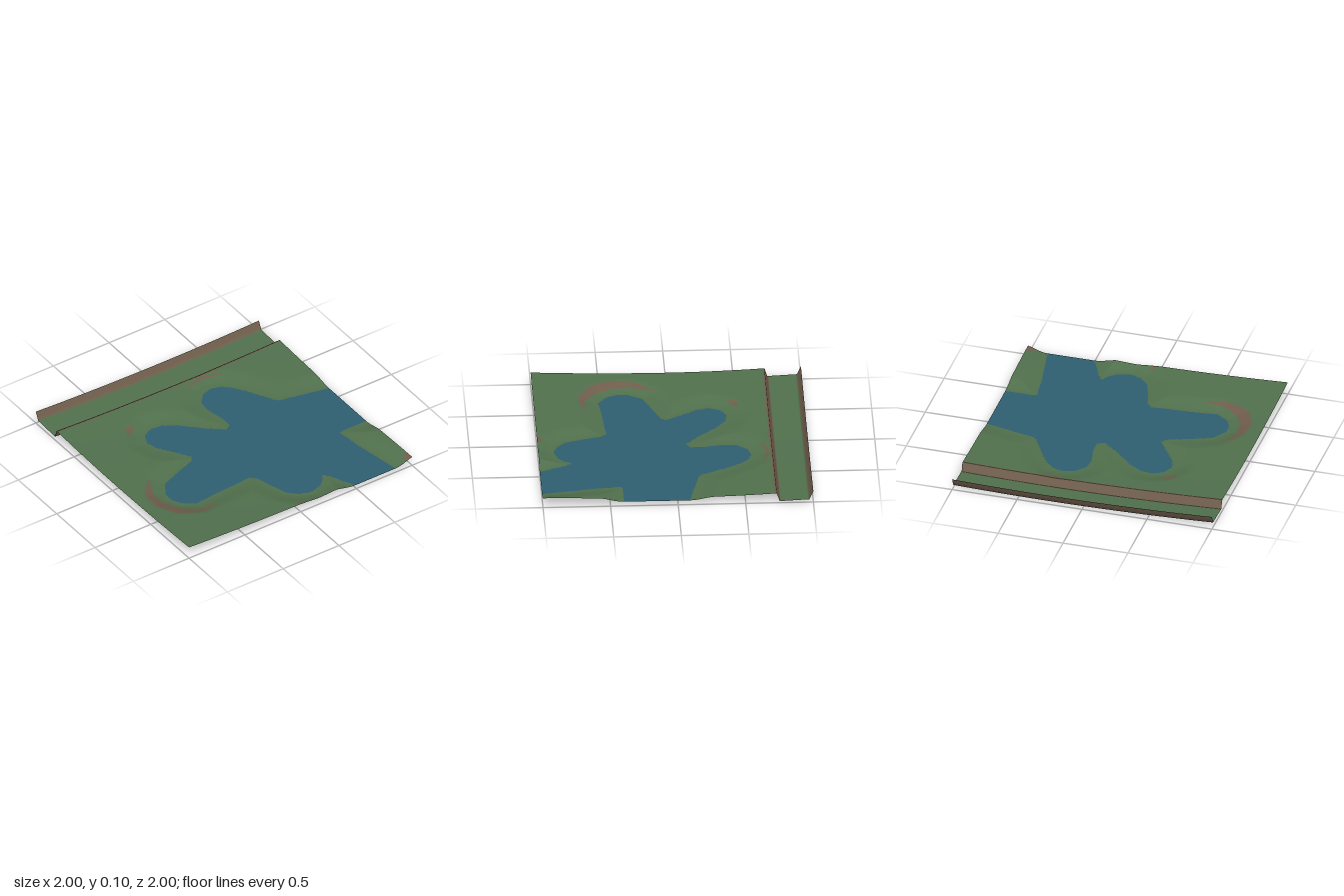
import * as THREE from 'three';

// Lake shoreline as [x, z], running past the sheet where the water meets its edge
const SHORE = [
  [1.3, -0.04], [1, -0.085], [0.8, -0.13], [0.62, -0.17], [0.58, -0.21], [0.5, -0.36], [0.43, -0.47],
  [0.36, -0.55], [0.28, -0.575], [0.19, -0.55], [0.12, -0.47], [0.11, -0.38], [0.14, -0.22], [0.14, -0.13],
  [0.09, -0.1], [0.04, -0.14], [-0.06, -0.22], [-0.16, -0.33], [-0.28, -0.41], [-0.37, -0.42], [-0.45, -0.38],
  [-0.49, -0.29], [-0.46, -0.2], [-0.38, -0.08], [-0.31, 0.03], [-0.34, 0.07], [-0.48, 0.12], [-0.66, 0.19],
  [-0.73, 0.3], [-0.73, 0.38], [-0.69, 0.46], [-0.6, 0.52], [-0.4, 0.5], [-0.2, 0.49], [-0.1, 0.48],
  [-0.06, 0.52], [-0.03, 0.64], [0.02, 0.78], [0.08, 0.85], [0.17, 0.885], [0.27, 0.86], [0.33, 0.81],
  [0.36, 0.75], [0.4, 0.81], [0.45, 0.92], [0.5, 1.02], [0.6, 1.3], [0.9, 1.3], [0.85, 1], [0.81, 0.77],
  [0.78, 0.6], [0.77, 0.48], [0.755, 0.41], [0.8, 0.4], [1.3, 0.4],
];

// Bare patches on the bank: centre x, centre z, reach, half width
const PATCHES = [
  [-0.82, 0.48, 0.39, 0.046], [-0.525, -0.485, 0.07, 0.025], [0.28, -0.71, 0.18, 0.012],
  [0.02, 1, 0.045, 0.04], [1, 0.97, 0.06, 0.04],
];

const WATER = 0.035;
const STEP = 0.01;

// Signed distance to the shoreline (negative in the lake) and the nearest shore point
function shore(x, z) {
  let best = Infinity, px = 0, pz = 0, inside = false;
  SHORE.forEach(([ax, az], i) => {
    const [bx, bz] = SHORE[(i + 1) % SHORE.length];
    const dx = bx - ax, dz = bz - az;
    const t = THREE.MathUtils.clamp(((x - ax) * dx + (z - az) * dz) / (dx * dx + dz * dz), 0, 1);
    const qx = ax + dx * t, qz = az + dz * t;
    const d = Math.hypot(x - qx, z - qz);
    if (d < best) { best = d; px = qx; pz = qz; }
    if ((az > z) !== (bz > z) && x < ax + (dx * (z - az)) / dz) inside = !inside;
  });
  return { d: inside ? -best : best, px, pz };
}

// Ground height: shallow bowl, lake bank, and the stepped channel along the back
function height(x, z, d) {
  const bend = 0.0208 * (x - 0.2) ** 2;
  const { lerp, mapLinear, smoothstep } = THREE.MathUtils;
  if (z < -0.9699) return bend + mapLinear(z, -0.97, -1, 0.01, 0.075);
  if (z < -0.7499) return bend + mapLinear(z, -0.75, -0.97, 0, 0.01);
  const ground = 0.045 + bend + (z > 0 ? 0.025 : 0.037) * z * z;
  return lerp(WATER, ground, smoothstep(d, 0, 0.19));
}

function isBare(x, z, d) {
  if (z < -0.97 || (z > -0.76 && z < -0.715)) return true;
  return PATCHES.some(([cx, cz, reach, half]) =>
    Math.abs(d - 0.123) < half * (1 - ((x - cx) ** 2 + (z - cz) ** 2) / reach ** 2));
}

export function createModel() {
  const group = new THREE.Group();
  const makeMaterial = (name, color) => {
    const m = new THREE.MeshStandardMaterial({ color, side: THREE.DoubleSide });
    m.name = name;
    return m;
  };

  // Rows are even over the land and placed on the folds of the channel
  const rows = [-1, -0.985, -0.97, -0.96, -0.86, -0.77, -0.76, -0.75, -0.73, -0.72];
  for (let k = -71; k <= 100; k++) rows.push(k * STEP);
  const cols = Math.round(2 / STEP) + 1;

  const positions = [], distances = [];
  for (const rowZ of rows) {
    for (let i = 0; i < cols; i++) {
      let x = -1 + i * STEP, z = rowZ;
      let { d, px, pz } = shore(x, z);
      const border = i === 0 || i === cols - 1 || rowZ === 1;
      // Pull vertices beside the shore onto it for a clean waterline
      if (!border && Math.abs(d) < 0.45 * STEP) { x = px; z = pz; d = 0; }
      positions.push(x, height(x, z, d), z);
      distances.push(d);
    }
  }

  // Sort the triangles by surface
  const faces = { lake: [], grassland: [], bareEarth: [] };
  const addFace = (...v) => {
    const mean = (f) => (f(v[0]) + f(v[1]) + f(v[2])) / 3;
    const d = mean((n) => distances[n]);
    const x = mean((n) => positions[n * 3]), z = mean((n) => positions[n * 3 + 2]);
    const kind = d < 0 ? 'lake' : isBare(x, z, d) ? 'bareEarth' : 'grassland';
    faces[kind].push(...v);
  };
  for (let j = 0; j < rows.length - 1; j++) {
    for (let i = 0; i < cols - 1; i++) {
      const a = j * cols + i, b = a + cols;
      addFace(a, b, a + 1);
      addFace(b, b + 1, a + 1);
    }
  }

  // Smooth normals are shared so the surfaces join without seams
  const sheet = new THREE.BufferGeometry();
  sheet.setAttribute('position', new THREE.Float32BufferAttribute(positions, 3));
  sheet.setIndex([...faces.lake, ...faces.grassland, ...faces.bareEarth]);
  sheet.computeVertexNormals();

  const materials = {
    lake: makeMaterial('water blue', 0x2e6071),
    grassland: makeMaterial('grass green', 0x51714d),
    bareEarth: makeMaterial('earth brown', 0x705e4c),
  };
  for (const name of Object.keys(faces)) {
    const geometry = new THREE.BufferGeometry();
    geometry.setAttribute('position', sheet.getAttribute('position'));
    geometry.setAttribute('normal', sheet.getAttribute('normal'));
    geometry.setIndex(faces[name]);
    const mesh = new THREE.Mesh(geometry, materials[name]);
    mesh.name = name;
    group.add(mesh);
  }
  return group;
}
